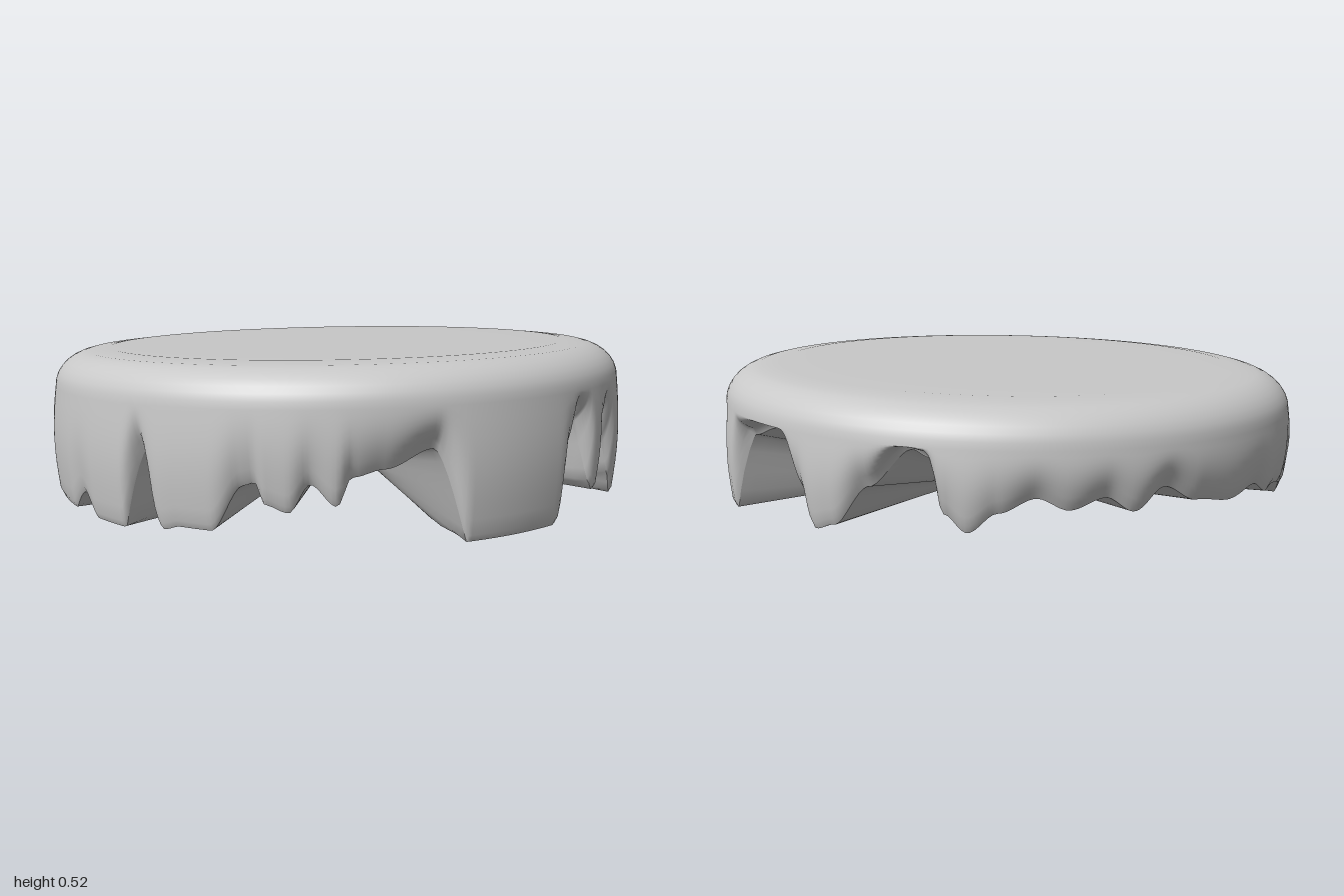
import * as THREE from 'three';

const SEG = 480;
const RING = 0.28; // radius of the hole underneath

// Lower edge of the drips: [degrees from +x towards +z, height]; below zero is cut flat
const DRIPS = [
  [3, 0], [6, 0.08], [8, 0.2], [11.5, 0.29], [15.5, 0.2], [17.5, 0.06], [19.5, 0.1], [22, 0.28],
  [25, 0.33], [28, 0.2], [32, 0], [40, -0.03], [50, -0.05], [57, 0.27], [66, 0.22], [71.5, 0.2],
  [74, 0.12], [78.5, 0.18], [82, 0.1], [86, 0.12], [88, 0.18], [90, 0.17], [95.5, 0.035], [101.5, 0.035],
  [105, 0.02], [110.5, 0.24], [115, -0.03], [120, -0.03], [128, 0.065], [135, -0.03], [144, -0.03],
  [149, 0.08], [153, -0.01], [162, 0], [168, 0.06], [175, 0.115], [179.5, 0.18], [184, 0.12], [190, 0.13],
  [194, 0.12], [199, 0.157], [208, 0.135], [217, 0.155], [223.5, 0.205], [230, 0.145], [235, 0.19],
  [241.5, 0.16], [247, 0.195], [253.5, 0.155], [258.5, 0.1], [262.5, 0.15], [265.5, 0.3], [269, 0.32],
  [276.5, 0.21], [283, 0.09], [287, 0.07], [291, 0.18], [296, 0.34], [303, 0.33], [313, 0.29],
  [317, 0.04], [320, 0.04], [325, 0.33], [334, 0.33], [339, 0.16], [344, 0.13], [348, 0.2],
  [352, 0.26], [357, 0.2], [360, 0.1], [363, 0],
];

function dripHeight(deg) {
  const d = deg < 3 ? deg + 360 : deg;
  const i = Math.max(1, DRIPS.findIndex((p) => p[0] >= d));
  const [a0, h0] = DRIPS[i - 1], [a1, h1] = DRIPS[i];
  return THREE.MathUtils.lerp(h0, h1, THREE.MathUtils.smoothstep(d, a0, a1));
}

// The top leans up slightly towards +x and +z
const topHeight = (r, a) => 0.487 + 0.025 * r * (Math.cos(a) + Math.sin(a));

// Joins one profile per angle; profile(angle, height) returns [radius, y] pairs
function sweep(name, material, profile) {
  const pos = [], index = [];
  let rows = 0;
  for (let j = 0; j < SEG; j++) {
    const a = (j / SEG) * Math.PI * 2;
    const pts = profile(a, dripHeight((j / SEG) * 360));
    rows = pts.length;
    for (const [r, y] of pts) pos.push(r * Math.cos(a), y, r * Math.sin(a));
  }
  for (let j = 0; j < SEG; j++) {
    const k = (j + 1) % SEG;
    for (let i = 0; i < rows - 1; i++) {
      const p = j * rows + i, q = k * rows + i;
      index.push(p, q, p + 1, q, q + 1, p + 1);
    }
  }
  const g = new THREE.BufferGeometry();
  g.setAttribute('position', new THREE.Float32BufferAttribute(pos, 3));
  g.setIndex(index);
  g.computeVertexNormals();
  const mesh = new THREE.Mesh(g, material);
  mesh.name = name;
  return mesh;
}

// Arches between drips sit further in than the drips themselves
const edgeRadius = (h) => 0.978 - 0.6 * Math.max(0, h) ** 2;
const ringHeight = (h) => 0.09 + 0.25 * Math.max(0, h - 0.15);

export function createModel() {
  const icing = new THREE.MeshStandardMaterial({ color: 0xc8c8c8 });
  icing.name = 'grey icing';
  const model = new THREE.Group();
  model.name = 'drippingIcing';

  // Flat top, rounded shoulder and dripping outer wall
  model.add(sweep('icingTopAndDrips', icing, (a, h) => {
    const pts = [0.001, 0.3, 0.6, 0.8].map((r) => [r, topHeight(r, a)]);
    for (let i = 0; i <= 8; i++) {
      const t = (i / 8) * Math.PI / 2;
      const r = 0.85 + 0.138 * Math.sin(t);
      pts.push([r, topHeight(r, a) - 0.115 * (1 - Math.cos(t)) - 0.006]);
    }
    const bottom = Math.max(0, h);
    const start = pts[pts.length - 1][1];
    const end = Math.min(start - 0.005, bottom + 0.02);
    const bulge = 0.014 * (1 - bottom / 0.34);
    for (let i = 1; i <= 8; i++) {
      const t = i / 8;
      const r = THREE.MathUtils.lerp(0.988, edgeRadius(h) + 0.01, t * t);
      pts.push([r + bulge * Math.sin(Math.PI * t), THREE.MathUtils.lerp(start, end, t)]);
    }
    pts.push([edgeRadius(h), Math.min(bottom, end - 0.005)]);
    return pts;
  }));

  // Underside folds running in to the central hole, cut flat at the ground
  model.add(sweep('undersideFolds', icing, (a, h) => {
    const pts = [];
    for (let i = 0; i <= 16; i++) {
      const t = i / 16;
      const y = THREE.MathUtils.lerp(h, ringHeight(h), t);
      pts.push([THREE.MathUtils.lerp(edgeRadius(h), RING, t), Math.max(0, y)]);
    }
    return pts;
  }));

  // Recess in the middle of the underside
  model.add(sweep('recessWall', icing, (a, h) => [[RING, ringHeight(h)], [RING, 0.18]]));
  const disc = new THREE.Mesh(new THREE.CircleGeometry(RING, 96), icing);
  disc.name = 'recessCeiling';
  disc.rotation.x = Math.PI / 2;
  disc.position.y = 0.18;
  model.add(disc);

  return model;
}
